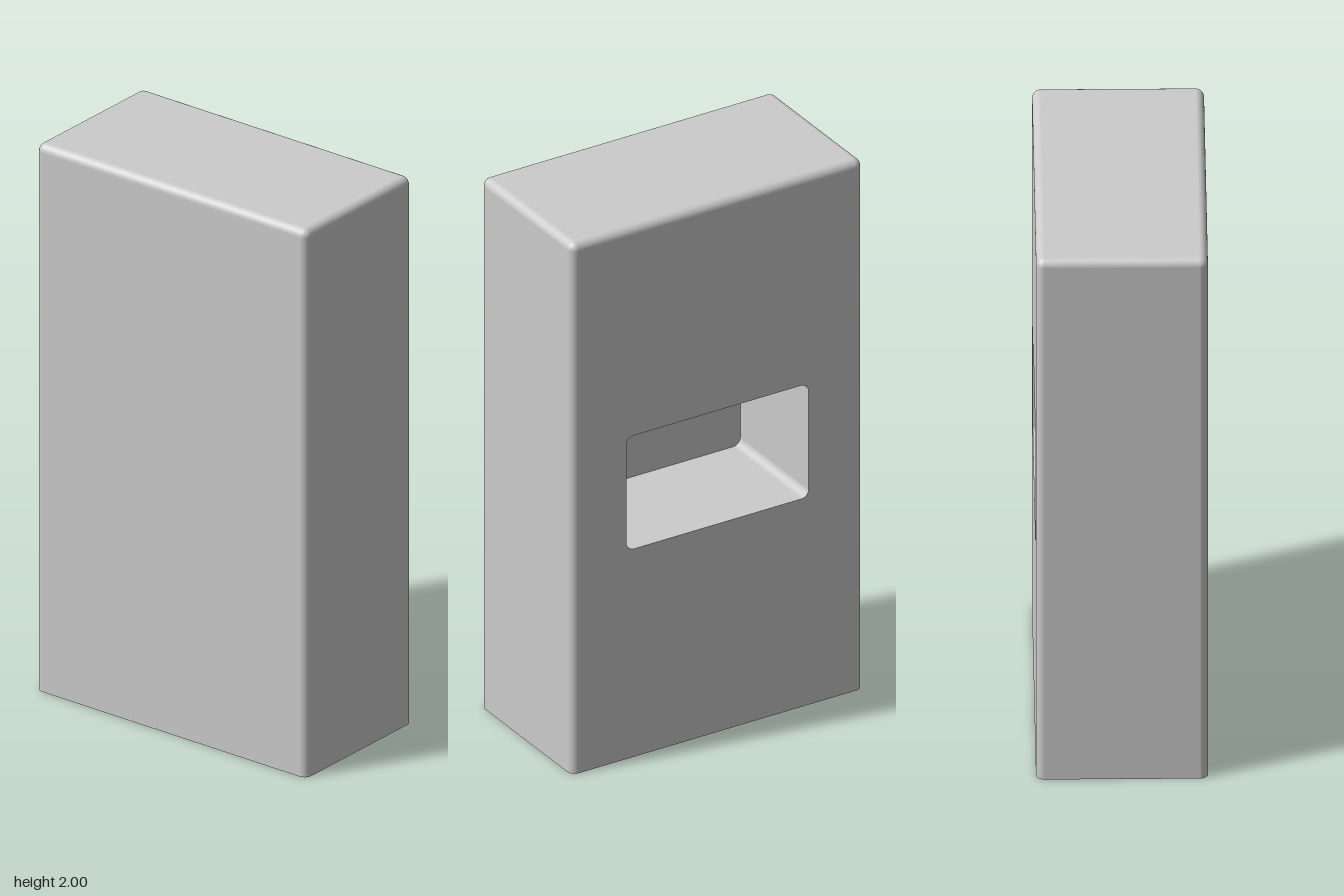
import * as THREE from 'three';

const U = 1 / 7;                      // design module
const W = 2 * U, D = 4 * U, H = 2;    // half width, half depth, height
const R = 0.2 * U;                    // edge rounding
const POCKET = { y: 1, halfH: 1.5 * U, halfD: 2.5 * U, depth: 3 * U };
const STEPS = 8;

// Rounded rectangle, counter-clockwise, with outward normals
function outline(halfA, halfB, r) {
  const pts = [];
  for (let k = 0; k < 4; k++) {
    const sa = k === 0 || k === 3 ? 1 : -1, sb = k < 2 ? 1 : -1;
    for (let j = 0; j <= STEPS; j++) {
      const t = (k + j / STEPS) * Math.PI / 2;
      const na = Math.cos(t), nb = Math.sin(t);
      pts.push({ a: sa * (halfA - r) + r * na, b: sb * (halfB - r) + r * nb, na, nb });
    }
  }
  return pts;
}

const points2D = (a, b, r) => outline(a, b, r).map(p => new THREE.Vector2(p.a, p.b));

// Skin over rings { y, pts, tilt }; normalSign -1 with descending rings gives an inside wall
function loft(rings, normalSign, openRow = -1) {
  const pos = [], nor = [], index = [], n = rings[0].pts.length;
  for (const { y, pts, tilt } of rings) {
    const c = Math.cos(tilt) * normalSign, s = Math.sin(tilt) * normalSign;
    for (const p of pts) {
      pos.push(p.a, y, -p.b);
      nor.push(p.na * c, s, -p.nb * c);
    }
  }
  for (let i = 0; i < rings.length - 1; i++) {
    for (let j = 0; j < n; j++) {
      if (i === openRow && j === n - 1) continue; // flat +x side left open for the panel
      const k = (j + 1) % n;
      const p = i * n + j, q = i * n + k;
      index.push(p, q, q + n, p, q + n, p + n);
    }
  }
  const g = new THREE.BufferGeometry();
  g.setAttribute('position', new THREE.Float32BufferAttribute(pos, 3));
  g.setAttribute('normal', new THREE.Float32BufferAttribute(nor, 3));
  g.setIndex(index);
  return g;
}

export function createModel() {
  const group = new THREE.Group();
  const material = new THREE.MeshStandardMaterial({ color: 0xcccccc });
  const add = (name, geometry) => {
    const mesh = new THREE.Mesh(geometry, material);
    mesh.name = name;
    group.add(mesh);
  };

  // Block sides with rounded vertical and top edges, sharp bottom edge
  const rings = [{ y: 0, pts: outline(W, D, R), tilt: 0 }];
  for (let i = 0; i <= STEPS; i++) {
    const tilt = i / STEPS * Math.PI / 2, r = R * Math.cos(tilt);
    rings.push({ y: H - R + R * Math.sin(tilt), pts: outline(W - R + r, D - R + r, r), tilt });
  }
  add('blockSides', loft(rings, 1, 0));

  // Top and bottom faces
  add('topFace', new THREE.PlaneGeometry(2 * (W - R), 2 * (D - R))
    .rotateX(-Math.PI / 2).translate(0, H, 0));
  add('bottomFace', new THREE.ShapeGeometry(new THREE.Shape(points2D(W, D, R)))
    .rotateX(Math.PI / 2));

  // Side panel with the pocket opening
  const panel = new THREE.Shape([[-1, 0], [1, 0], [1, H - R], [-1, H - R]]
    .map(([s, y]) => new THREE.Vector2(s * (D - R), y - POCKET.y)));
  const opening = points2D(POCKET.halfD, POCKET.halfH, R);
  panel.holes.push(new THREE.Path(opening));
  add('pocketSidePanel', new THREE.ShapeGeometry(panel)
    .rotateY(Math.PI / 2).translate(W, POCKET.y, 0));

  // Pocket walls and back
  const section = outline(POCKET.halfH, POCKET.halfD, R);
  add('pocketWalls', loft([
    { y: W, pts: section, tilt: 0 },
    { y: W - POCKET.depth, pts: section, tilt: 0 },
  ], -1).rotateZ(-Math.PI / 2).translate(0, POCKET.y, 0));
  add('pocketBack', new THREE.ShapeGeometry(new THREE.Shape(opening))
    .rotateY(Math.PI / 2).translate(W - POCKET.depth, POCKET.y, 0));

  return group;
}
